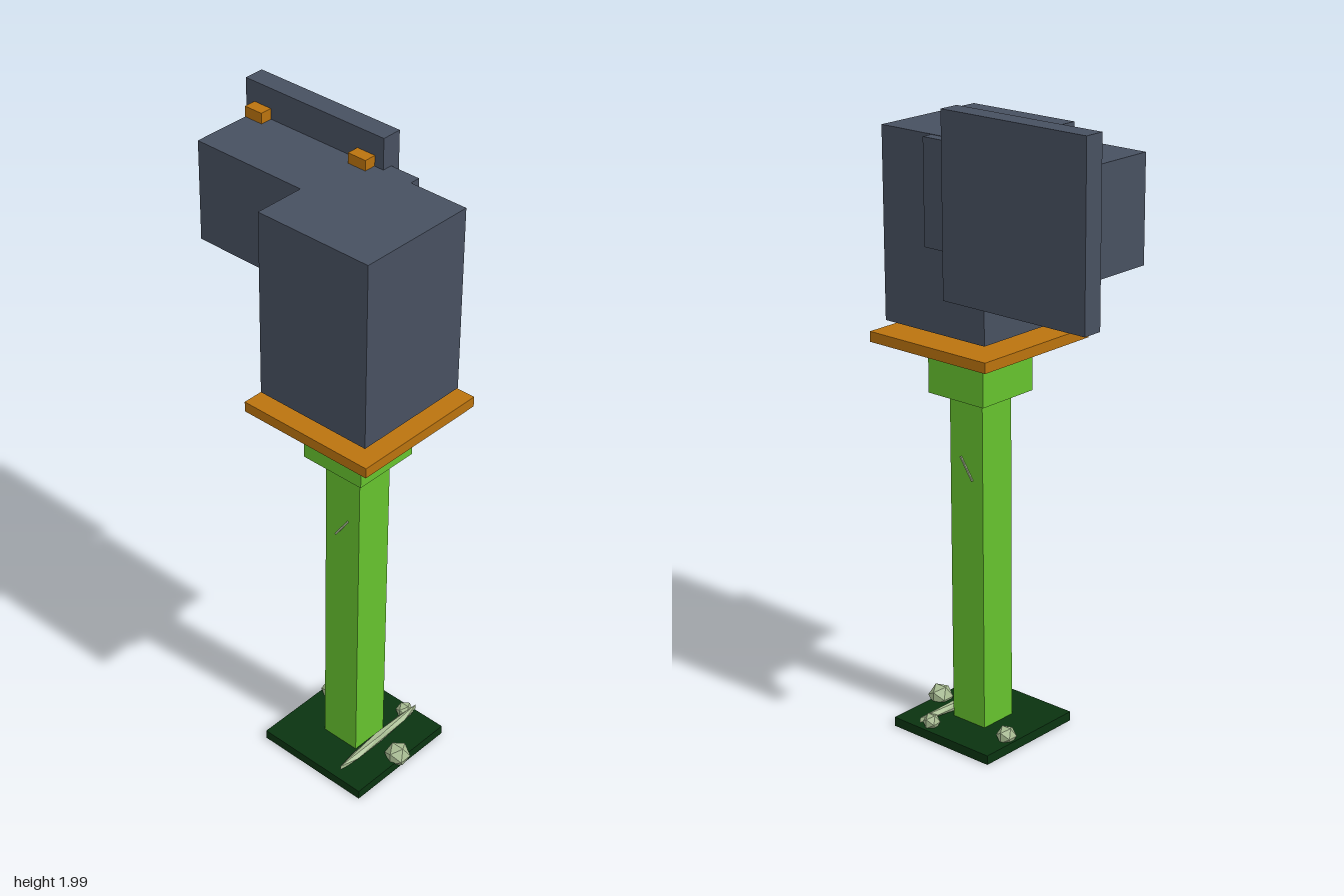
import * as THREE from 'three';

const paint = (name, color) => {
  const m = new THREE.MeshStandardMaterial({ color });
  m.name = name;
  return m;
};

export function createModel() {
  const model = new THREE.Group();
  model.name = 'signalPost';
  const slate = paint('slate', 0x475060);
  const orange = paint('orange', 0xba730e);
  const green = paint('green', 0x66c22e);
  const darkGreen = paint('darkGreen', 0x0a3310);
  const stone = paint('stone', 0xa9bd93);

  // box from its lower and upper corners
  const block = (name, mat, [x0, y0, z0], [x1, y1, z1]) => {
    const mesh = new THREE.Mesh(new THREE.BoxGeometry(x1 - x0, y1 - y0, z1 - z0), mat);
    mesh.position.set((x0 + x1) / 2, (y0 + y1) / 2, (z0 + z1) / 2);
    mesh.name = name;
    model.add(mesh);
    return mesh;
  };

  // faceted stone, optionally stretched and tilted
  const rock = (name, pos, size, rot = [0, 0, 0]) => {
    const geo = new THREE.IcosahedronGeometry(1, 0); // unindexed, so flat faceted
    geo.scale(...size);
    geo.computeVertexNormals();
    const mesh = new THREE.Mesh(geo, stone);
    mesh.position.set(...pos);
    mesh.rotation.set(...rot);
    mesh.name = name;
    model.add(mesh);
  };

  // base, column and platform
  block('base', darkGreen, [0, 0.015, -0.175], [0.385, 0.045, 0.21]);
  block('column', green, [0.128, 0.045, -0.046], [0.256, 1.105, 0.081]);
  block('capital', green, [0.084, 1.105, -0.091], [0.299, 1.265, 0.126]);
  block('platform', orange, [-0.033, 1.265, -0.21], [0.417, 1.297, 0.24]);

  // head with its side arm and the panel behind
  block('head', slate, [0, 1.33, -0.176], [0.385, 1.905, 0.209]);
  block('arm', slate, [-0.386, 1.59, -0.21], [0.193, 1.904, 0.046]);
  block('backPanel', slate, [-0.418, 1.46, -0.242], [0.094, 2, -0.178]);

  // brackets holding the panel
  for (const x of [-0.386, 0]) {
    for (const y of [1.527, 1.874]) {
      block('bracket', orange, [x, y, -0.205], [x + 0.063, y + 0.063, -0.14]);
    }
  }

  // stones on the base
  rock('largeStone', [0.37, 0.053, 0.017], [0.04, 0.04, 0.04]);
  rock('smallStone', [0.03, 0.057, -0.055], [0.032, 0.032, 0.032]);
  rock('rearStone', [0.262, 0.058, -0.14], [0.028, 0.028, 0.028]);
  rock('longStone', [0.282, 0.058, 0.005], [0.016, 0.016, 0.205], [0.05, 0, 0]);

  // slivers of stone that pierce the column
  const sliver = block('crossSliver', stone, [0.188, 0.839, -0.05], [0.194, 0.921, 0.085]);
  sliver.rotation.z = -0.6;
  rock('sideSliver', [0.192, 0.88, 0.017], [0.079, 0.014, 0.03], [0, 0, 0.36]);
  return model;
}
